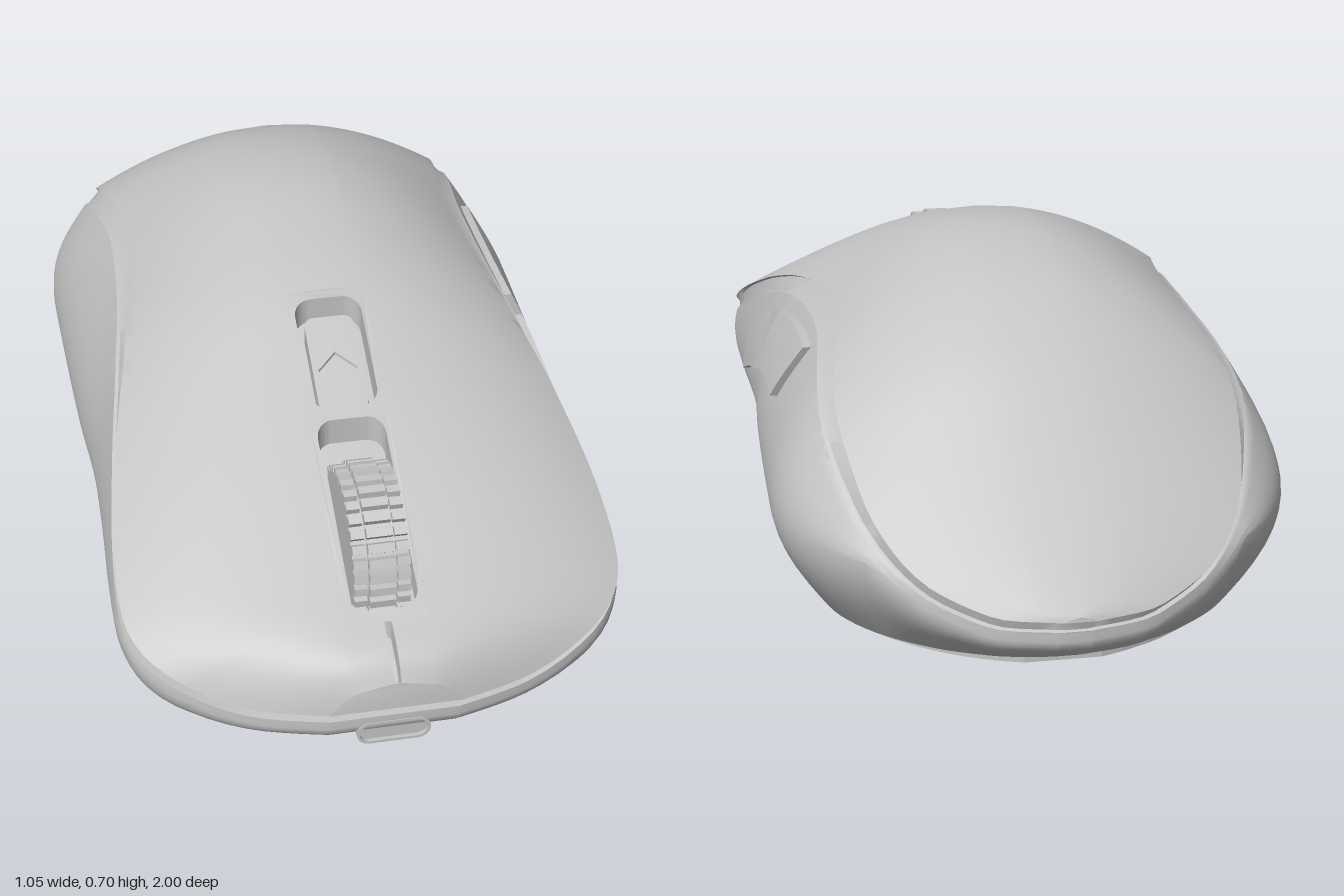
import * as THREE from 'three';
import { toCreasedNormals } from 'three/addons/utils/BufferGeometryUtils.js';

const shellGray = new THREE.MeshStandardMaterial({ color: 0xc4c4c4 });
shellGray.name = 'shell gray';

// Smooth curve through [z, value] keys
function curve(keys) {
  const slope = (i) => {
    const a = keys[Math.max(i - 1, 0)], b = keys[Math.min(i + 1, keys.length - 1)];
    return (b[1] - a[1]) / (b[0] - a[0]);
  };
  return (z) => {
    let i = 0;
    while (i < keys.length - 2 && z > keys[i + 1][0]) i++;
    const [z0, v0] = keys[i], [z1, v1] = keys[i + 1];
    const h = z1 - z0, t = THREE.MathUtils.clamp((z - z0) / h, 0, 1), s = 1 - t;
    return v0 * (1 + 2 * t) * s * s + h * slope(i) * t * s * s
      + v1 * t * t * (3 - 2 * t) - h * slope(i + 1) * t * t * s;
  };
}

// Body curves along z: crown height, widest half width, seam height, seam width ratio
const crown = curve([[-1, .16], [-.9, .26], [-.8, .36], [-.7, .46], [-.6, .55], [-.45, .64], [-.3, .685],
  [-.15, .70], [0, .685], [.2, .635], [.4, .545], [.6, .45], [.8, .35], [.9, .305], [.97, .272], [1, .235]]);
const halfWidth = curve([[-1, .03], [-.98, .13], [-.95, .2], [-.9, .285], [-.8, .395], [-.7, .465], [-.6, .508],
  [-.5, .525], [-.35, .525], [0, .515], [.2, .503], [.4, .505], [.6, .512], [.75, .51], [.82, .49], [.88, .44],
  [.92, .37], [.96, .27], [.985, .19], [1, .13]]);
const seamY = curve([[-1, .15], [-.97, .158], [-.9, .205], [-.8, .285], [-.7, .36], [-.55, .455], [-.4, .515],
  [-.25, .543], [-.1, .543], [.1, .52], [.3, .465], [.45, .41], [.6, .35], [.75, .285], [.88, .225], [.95, .175], [1, .17]]);
const seamRatio = curve([[-1, 1], [-.9, .98], [-.8, .9], [-.7, .83], [-.6, .79], [-.4, .73], [-.23, .695],
  [0, .74], [.2, .84], [.4, .92], [.6, .97], [.8, .99], [1, 1]]);
const seamX = (z) => halfWidth(z) * seamRatio(z);
const baseX = (z) => halfWidth(z) * .82;
const BASE_Y = .015, BASE_FRONT = .83, BASE_REAR = .86;

function topY(x, z) {
  const p = 2 + .8 * THREE.MathUtils.smoothstep(z, 0, .9);
  const u = Math.min(Math.abs(x) / seamX(z), 1);
  return seamY(z) + (crown(z) - seamY(z)) * (1 - u ** p);
}

// Pulls the ends in so that z = 1 lands on front and z = -1 on -rear
function pull(z, front, rear) {
  if (z > .5) return .5 + (z - .5) * (front - .5) / .5;
  if (z < -.5) return -.5 + (z + .5) * (rear - .5) / .5;
  return z;
}

// Side panel: upper edge and widest height at z
function side(z) {
  const yl = seamY(z) - .038;
  return { xl: seamX(z) + (halfWidth(z) - seamX(z)) * .25, yl, ym: Math.min(.21, yl - .02) };
}
function sideX(y, z) {
  const { xl, yl, ym } = side(z);
  const t = THREE.MathUtils.clamp((yl - y) / (yl - ym), 0, 1);
  return xl + (halfWidth(z) - xl) * Math.sin(t * Math.PI / 2);
}

const PATCH_X = .08, PATCH_Z0 = .22, PATCH_Z1 = .9;
const stations = [PATCH_Z0, PATCH_Z1];
for (let i = 0; i <= 72; i++) stations.push(-Math.cos(Math.PI * i / 72));
stations.sort((a, b) => a - b);

// Right half of a cross-section, from the crown down to the base
function halfSection(z) {
  const pts = [], xs = seamX(z), k = Math.min(1, xs / .12);
  const slit = z > PATCH_Z1 + .001 ? .035 : 0;
  pts.push([.005 * k, topY(.005 * k, z) - slit, z], [.007 * k, topY(.007 * k, z), z]);
  for (let i = 0; i <= 14; i++) {
    const x = PATCH_X * k + (xs - PATCH_X * k) * i / 14;
    pts.push([x, topY(x, z), z]);
  }
  const { xl, yl, ym } = side(z), xm = halfWidth(z), xb = baseX(z);
  // recessed seam
  pts.push([xs - .006, seamY(z) - .003, pull(z, .95, .965)], [xl - .008, yl + .003, pull(z, .95, .955)]);
  for (let i = 0; i <= 8; i++) {
    const y = yl + (ym - yl) * i / 8;
    pts.push([sideX(y, z), y, pull(z, .978, .96)]);
  }
  for (let i = 1; i <= 7; i++) {
    const t = i / 7, c = Math.cos(t * Math.PI / 2);
    pts.push([xb + (xm - xb) * c, ym + (BASE_Y - ym) * t,
      pull(z, BASE_FRONT + (.978 - BASE_FRONT) * c, BASE_REAR + (.96 - BASE_REAR) * c)]);
  }
  return pts;
}

function bodyGeometry() {
  const pos = [], idx = [];
  let m = 0;
  for (const z of stations) {
    const right = halfSection(z);
    m = right.length;
    for (const [x, y, w] of [...right].reverse()) pos.push(-x, y, w);
    for (const p of right) pos.push(...p);
  }
  const n = 2 * m, last = (stations.length - 1) * n;
  for (let i = 0; i < stations.length - 1; i++) {
    const open = stations[i] > PATCH_Z0 - .0001 && stations[i + 1] < PATCH_Z1 + .0001;
    for (let j = 0; j < n; j++) {
      if (open && j >= m - 3 && j <= m + 1) continue;
      const a = i * n + j, b = i * n + (j + 1) % n, c = b + n, d = a + n;
      idx.push(a, d, c, a, c, b);
    }
  }
  for (let j = 0; j < m - 1; j++) {
    const r = n - 1 - j;
    idx.push(last + j, last + r, last + r - 1, last + j, last + r - 1, last + j + 1);
    idx.push(j, r - 1, r, j, j + 1, r - 1);
  }
  const g = new THREE.BufferGeometry();
  g.setAttribute('position', new THREE.Float32BufferAttribute(pos, 3));
  g.setIndex(idx);
  return toCreasedNormals(g, .6);
}

function moveVertices(g, rule) {
  const p = g.attributes.position;
  for (let i = 0; i < p.count; i++) p.setXYZ(i, ...rule(p.getX(i), p.getY(i), p.getZ(i)));
  g.computeVertexNormals();
  return toCreasedNormals(g, .5);
}

// Plan shape (x, z) laid on the top surface, sunk by depth
const topPlate = (shape, depth, thick) => moveVertices(
  new THREE.ExtrudeGeometry(shape, { depth: thick, bevelEnabled: false, curveSegments: 6 }),
  (x, z, d) => [x, topY(x, z) - depth - d, z]);

function roundRect(w, y0, y1, r, Type = THREE.Shape) {
  const s = new Type();
  s.absarc(w - r, y1 - r, r, 0, Math.PI / 2);
  s.absarc(-w + r, y1 - r, r, Math.PI / 2, Math.PI);
  s.absarc(-w + r, y0 + r, r, Math.PI, Math.PI * 1.5);
  s.absarc(w - r, y0 + r, r, Math.PI * 1.5, Math.PI * 2);
  s.closePath();
  return s;
}

function footGeometry(from, to) {
  const right = [];
  for (let i = 0; i <= 24; i++) {
    const z = from + (to - from) * i / 24;
    right.push(new THREE.Vector2(Math.max(baseX(z) - .03, .02), pull(z, BASE_FRONT, BASE_REAR)));
  }
  const left = right.map((p) => new THREE.Vector2(-p.x, p.y)).reverse();
  return new THREE.ExtrudeGeometry(new THREE.Shape([...right, ...left]), { depth: .017, bevelEnabled: false })
    .rotateX(Math.PI / 2).translate(0, .017, 0);
}

// Toothed ring of the wheel, axis along x
function toothedRing(radius, width, x) {
  const pts = [], teeth = 34;
  for (let i = 0; i < teeth; i++) {
    for (const [f, r] of [[0, radius - .014], [.28, radius - .014], [.36, radius], [.92, radius]]) {
      const a = (i + f) / teeth * Math.PI * 2;
      pts.push(new THREE.Vector2(Math.cos(a) * r, Math.sin(a) * r));
    }
  }
  return new THREE.ExtrudeGeometry(new THREE.Shape(pts), { depth: width, bevelEnabled: false })
    .translate(0, 0, -width / 2).rotateY(Math.PI / 2).translate(x, 0, 0);
}

// Side button: a box bent onto the left side; corners are [z, y]
function sideButton([a, b, c, d], bow) {
  return moveVertices(new THREE.BoxGeometry(1, 1, 1, 10, 8, 1), (px, py, pz) => {
    const shrink = pz > 0 ? .97 : 1;
    const u = px * shrink + .5, v = py * shrink + .5;
    const mix = (k) => (a[k] * (1 - u) + b[k] * u) * (1 - v) + (d[k] * (1 - u) + c[k] * u) * v;
    const z = mix(0), y = mix(1) + bow * 4 * u * (1 - u);
    return [sideX(y, z) + (pz > 0 ? .016 : -.02), y, z];
  });
}

export function createModel() {
  const model = new THREE.Group();
  model.name = 'computerMouse';
  const add = (name, geometry, parent = model) => {
    const mesh = new THREE.Mesh(geometry, shellGray);
    mesh.name = name;
    parent.add(mesh);
    return mesh;
  };

  add('bodyShell', bodyGeometry());

  // Centre strip with the button and wheel openings
  const zs = stations.filter((z) => z >= PATCH_Z0 && z <= PATCH_Z1);
  const strip = new THREE.Shape([
    ...zs.map((z) => new THREE.Vector2(PATCH_X, z)),
    ...[...zs].reverse().map((z) => new THREE.Vector2(-PATCH_X, z))]);
  strip.holes.push(roundRect(.07, .24, .475, .035, THREE.Path), roundRect(.07, .5, .875, .035, THREE.Path));
  add('centreStrip', topPlate(strip, 0, .06));
  add('openingFloor', topPlate(roundRect(.078, .23, .89, .01), .055, .01));
  add('topButton', topPlate(roundRect(.052, .265, .465, .02), .02, .04));
  const chevron = new THREE.Shape([[0, .335], [.04, .37], [.04, .382], [0, .347], [-.04, .382], [-.04, .37]]
    .map(([x, z]) => new THREE.Vector2(x, z)));
  add('buttonChevron', topPlate(chevron, .014, .008));

  // Scroll wheel
  const wheel = new THREE.Group();
  wheel.name = 'scrollWheel';
  wheel.position.set(0, .332, .692);
  model.add(wheel);
  add('wheelCore', new THREE.CylinderGeometry(.148, .148, .1, 48).rotateZ(Math.PI / 2), wheel);
  add('wheelTread', toothedRing(.167, .052, 0), wheel);
  for (const s of [-1, 1]) add('wheelEdge', toothedRing(.161, .026, s * .043), wheel);

  // Thumb buttons on the left side
  add('frontSideButton', sideButton([[.358, .225], [.11, .305], [.115, .44], [.315, .345]], .006));
  add('rearSideButton', sideButton([[.07, .325], [-.225, .355], [-.285, .48], [.065, .455]], .012));

  // Charging port
  const rim = roundRect(.074, .063, .117, .026);
  rim.holes.push(roundRect(.068, .069, .111, .02, THREE.Path));
  add('portRim', new THREE.ExtrudeGeometry(rim, { depth: .08, bevelEnabled: false }).translate(0, 0, .9));
  add('portPlate', new THREE.ExtrudeGeometry(roundRect(.07, .067, .113, .022), { depth: .07, bevelEnabled: false })
    .translate(0, 0, .902));

  // Glide feet and sensor window
  add('frontFoot', footGeometry(.49, .98));
  add('rearFoot', footGeometry(-.98, -.47));
  add('sensorWindow', new THREE.CylinderGeometry(.05, .05, .01, 32).translate(0, .012, 0));
  return model;
}
